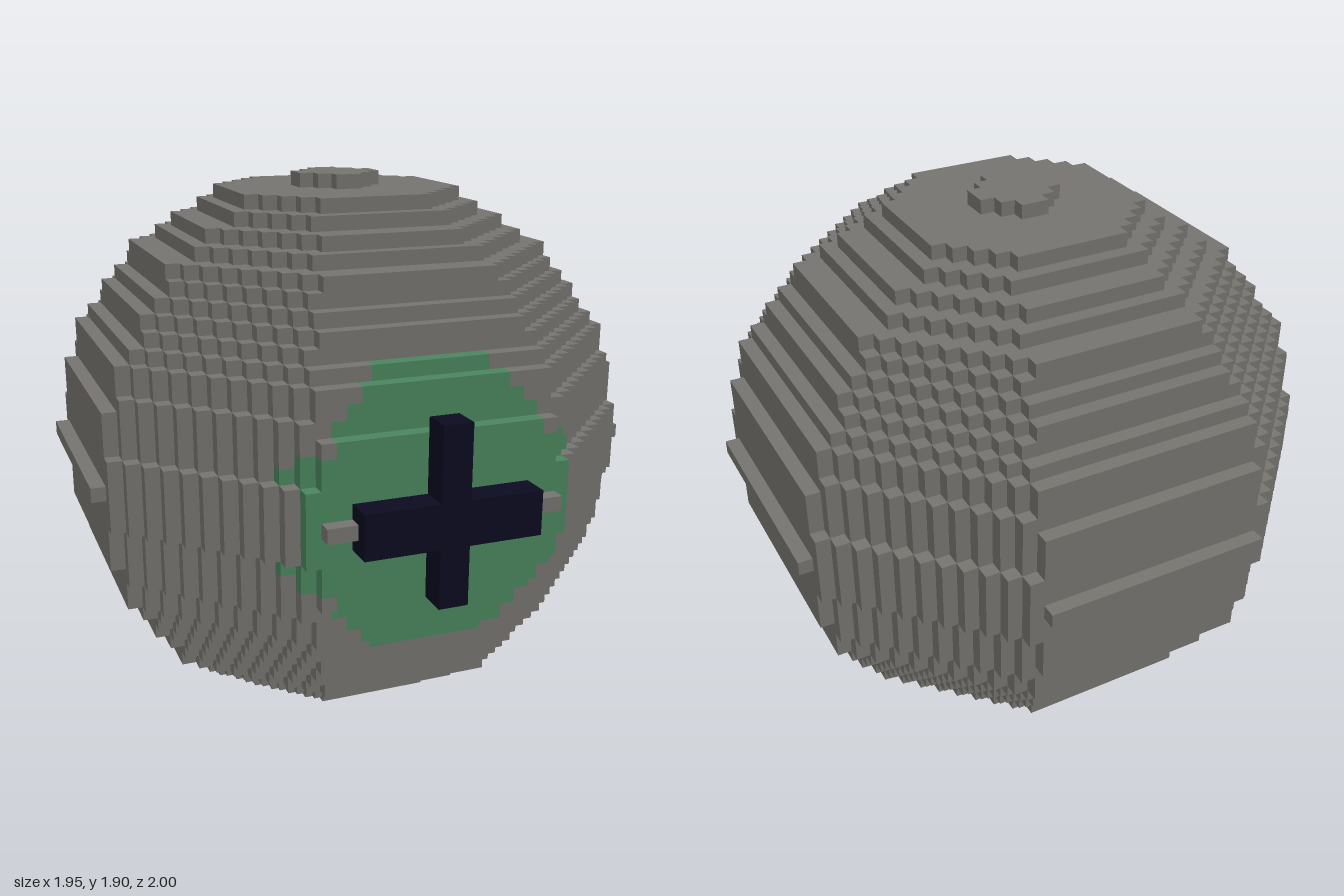
import * as THREE from 'three';
import { mergeGeometries } from 'three/addons/utils/BufferGeometryUtils.js';

const V = 2 / 41;        // edge of one block
const MID = 19.5;        // equator height in blocks
const ZOFF = -0.5;       // body centre in z, in blocks

// Half width of the flat sides and diagonal limit for layers 0..19 from the equator
const ringVertices = [[0, 20], [7.65, 18.48], [14.14, 14.14], [18.48, 7.65], [20, 0]];
function layerSize(k) {
  if (k === 19) return { flat: 3, diagonal: 4 };
  const n = ringVertices.findIndex(([h]) => h > k);
  const [h0, r0] = ringVertices[n - 1], [h1, r1] = ringVertices[n];
  const r = r0 + (r1 - r0) * (k - h0) / (h1 - h0);
  return { flat: Math.min(19, Math.floor(r + 1e-6)), diagonal: Math.round(r * Math.SQRT2) };
}

// Half widths of the green eye patch, per layer from the equator
const patchWidth = [9, 9, 9, 10, 9, 7, 7, 6, 5, 4];
const PATCH_BACK = 14;

// One layer, drawn as block columns running from zMin to zMax
function slab(halfWidth, zMin, zMax, k) {
  const front = [], back = [];
  const add = (list, x, z) => list.push(new THREE.Vector2(x * V, -(z + ZOFF) * V));
  for (let c = -halfWidth; c < halfWidth; c++) {
    const i = c < 0 ? -c : c + 1;
    for (const x of [c, c + 1]) {
      add(front, x, zMax(i));
      add(back, x, zMin(i));
    }
  }
  // drop points that do not turn a corner
  let pts = [...front, ...back.reverse()];
  pts = pts.filter((p, n) => {
    const a = pts[(n + pts.length - 1) % pts.length], b = pts[(n + 1) % pts.length];
    return Math.abs((p.x - a.x) * (b.y - p.y) - (p.y - a.y) * (b.x - p.x)) > 1e-9;
  });
  const g = new THREE.ExtrudeGeometry(new THREE.Shape(pts), { depth: V, bevelEnabled: false });
  g.rotateX(-Math.PI / 2);
  g.translate(0, (MID + k - 0.5) * V, 0);
  return g;
}

// Box from block limits; y counted from the equator
function blockBox(x0, x1, y0, y1, z0, z1) {
  const g = new THREE.BoxGeometry((x1 - x0) * V, (y1 - y0) * V, (z1 - z0) * V);
  g.translate((x0 + x1) / 2 * V, (MID + (y0 + y1) / 2) * V, ((z0 + z1) / 2 + ZOFF) * V);
  return g;
}

export function createModel() {
  const stone = new THREE.MeshStandardMaterial({ color: 0x76746f });
  stone.name = 'stone grey';
  const green = new THREE.MeshStandardMaterial({ color: 0x4a865f });
  green.name = 'eye green';
  const dark = new THREE.MeshStandardMaterial({ color: 0x0b0a20 });
  dark.name = 'pupil navy';

  const model = new THREE.Group();
  model.name = 'blockSphere';
  const addMesh = (name, geometries, material) => {
    const mesh = new THREE.Mesh(mergeGeometries(geometries), material);
    mesh.name = name;
    model.add(mesh);
  };

  // Stepped octagonal layers, with the eye patch set into the front
  const bodyLayers = [], patchLayers = [];
  for (let k = -19; k <= 19; k++) {
    const { flat, diagonal } = layerSize(Math.abs(k));
    const w = patchWidth[Math.abs(k)] ?? 0;
    const edge = (i) => Math.min(flat, diagonal - i);
    bodyLayers.push(slab(flat, (i) => -edge(i), (i) => (i <= w ? PATCH_BACK : edge(i)), k));
    if (w) patchLayers.push(slab(w, () => PATCH_BACK, edge, k));
  }
  addMesh('body', bodyLayers, stone);
  addMesh('eyePatch', patchLayers, green);

  // Thin bars along the equator on the four flat sides
  addMesh('equatorBars', [
    blockBox(-8, 8, -0.5, 0.5, 19, 20),
    blockBox(-8, 8, -0.5, 0.5, -20, -19),
    blockBox(19, 20, -0.5, 0.5, -8, 8),
    blockBox(-20, -19, -0.5, 0.5, -8, 8),
  ], stone);

  // Raised cross pupil
  addMesh('pupilCross', [
    blockBox(-6, 6, -1.5, 1.5, 19, 21),
    blockBox(-1, 1, 1.5, 6.5, 19, 21),
    blockBox(-1, 1, -5.5, -1.5, 19, 21),
  ], dark);

  return model;
}
